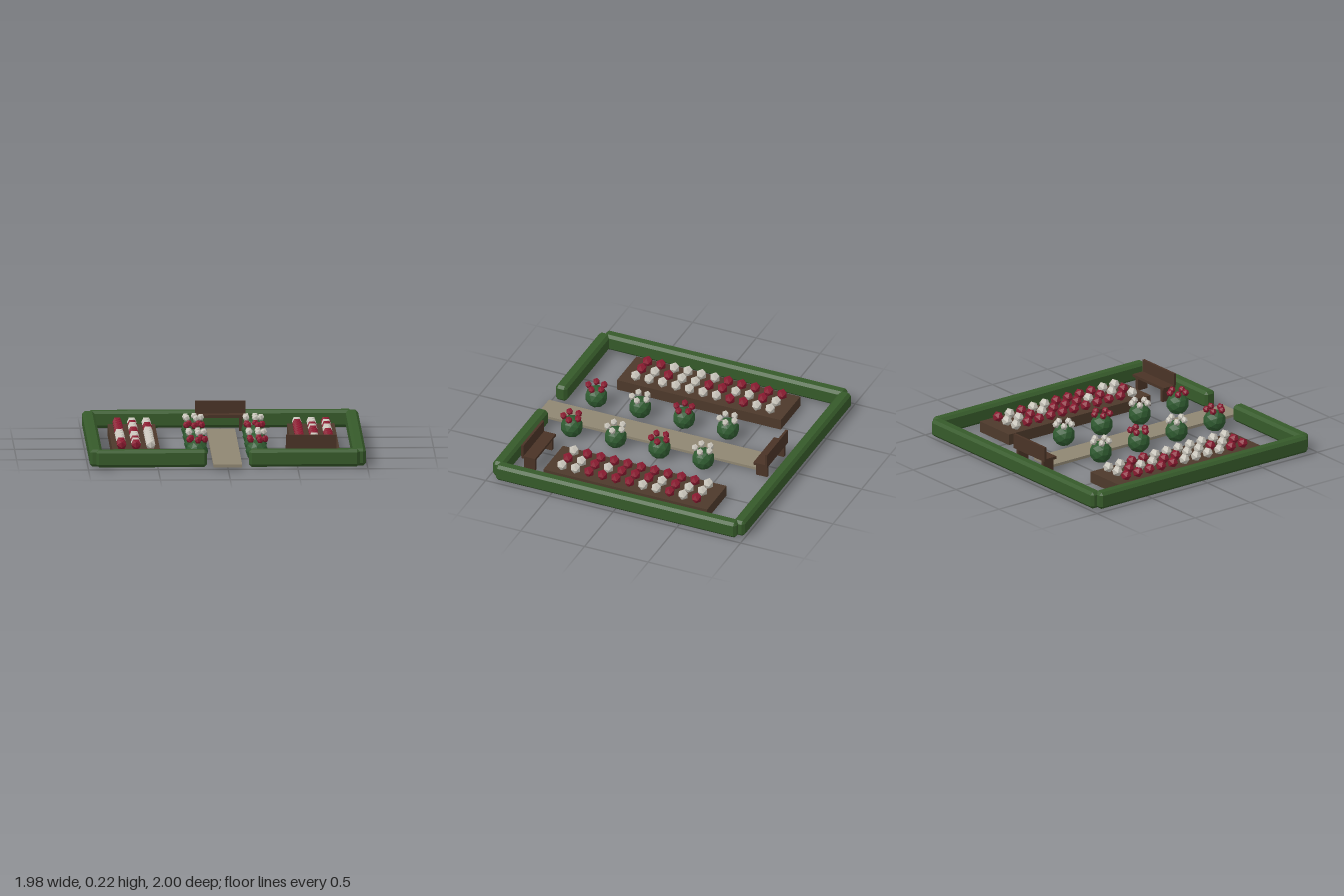
import * as THREE from 'three';
import { ConvexGeometry } from 'three/addons/geometries/ConvexGeometry.js';

const mat = (name, color) => {
  const m = new THREE.MeshStandardMaterial({ color, flatShading: true });
  m.name = name;
  return m;
};

export function createModel() {
  const hedgeGreen = mat('hedge green', 0x365a2a);
  const bushGreen = mat('bush green', 0x2f5a30);
  const soilBrown = mat('soil brown', 0x4d392b);
  const benchBrown = mat('bench brown', 0x4a3326);
  const stone = mat('path stone', 0x8f8672);
  const red = mat('rose red', 0x8a1a30);
  const white = mat('rose white', 0xc8c4ba);

  const garden = new THREE.Group();
  garden.name = 'garden';

  const add = (parent, name, geometry, material, x, y, z) => {
    const mesh = new THREE.Mesh(geometry, material);
    mesh.name = name;
    mesh.position.set(x, y, z);
    parent.add(mesh);
    return mesh;
  };
  const box = (parent, name, material, w, h, d, x, y, z) =>
    add(parent, name, new THREE.BoxGeometry(w, h, d), material, x, y, z);

  // Box with every edge chamfered
  const chamferBox = (w, h, d, c) => {
    const points = [];
    for (const sx of [-1, 1]) for (const sy of [-1, 1]) for (const sz of [-1, 1]) {
      const a = w / 2, b = h / 2, e = d / 2;
      points.push(
        new THREE.Vector3(sx * a, sy * (b - c), sz * (e - c)),
        new THREE.Vector3(sx * (a - c), sy * b, sz * (e - c)),
        new THREE.Vector3(sx * (a - c), sy * (b - c), sz * e));
    }
    return new ConvexGeometry(points);
  };

  // Hedges around the garden, with a gap at the front
  const hedge = (name, x0, x1, z0, z1) => add(garden, name,
    chamferBox(x1 - x0, 0.124, z1 - z0, 0.02), hedgeGreen,
    (x0 + x1) / 2, 0.073, (z0 + z1) / 2);
  hedge('backHedge', -0.943, 0.943, -1, -0.91);
  hedge('leftHedge', 0.898, 0.988, -0.955, 0.935);
  hedge('rightHedge', -0.988, -0.898, -0.955, 0.935);
  hedge('frontLeftHedge', 0.15, 0.943, 0.885, 0.975);
  hedge('frontRightHedge', -0.943, -0.15, 0.885, 0.975);

  // Path
  box(garden, 'path', stone, 0.205, 0.02, 1.715, -0.002, 0.025, 0.1425);

  // Flower beds: one letter per flower, rows from back to front
  const rose = new THREE.IcosahedronGeometry(0.04, 0);
  const beds = [
    ['rightBed', -0.645, 'RWW RRW RWR RWR RRW WRW WWW WWW WRW RWW RRW'],
    ['leftBed', 0.64, 'WWR RWW RRR RWW RRW RRR RRR RWR RRR RWW WRW'],
  ];
  for (const [name, x, rows] of beds) {
    const bed = new THREE.Group();
    bed.name = name;
    garden.add(bed);
    box(bed, 'soil', soilBrown, 0.34, 0.08, 1.285, x, 0.04, -0.01);
    rows.split(' ').forEach((row, i) => [...row].forEach((c, j) =>
      add(bed, 'bedFlower', rose, c === 'R' ? red : white,
        x + (j - 1) * 0.104, 0.11, -0.54 + i * 0.1055)));
  }

  // Round bushes beside the path, each with a ring of small flowers
  const ball = new THREE.IcosahedronGeometry(0.082, 1);
  const bud = new THREE.IcosahedronGeometry(0.027, 0);
  const phases = { '-1': [-0.1, 0.3, 0, 0.2], 1: [0, -0.15, 0, -0.05] };
  for (const side of [-1, 1]) {
    for (let i = 0; i < 4; i++) {
      const bush = new THREE.Group();
      bush.name = 'roseBush';
      bush.position.set(side * 0.215, 0, -0.355 + i * 0.344);
      garden.add(bush);
      add(bush, 'foliage', ball, bushGreen, 0, 0.085, 0);
      for (let k = 0; k < 5; k++) {
        const a = phases[side][i] + k * Math.PI * 0.4;
        add(bush, 'bushFlower', bud, i % 2 ? red : white,
          Math.cos(a) * 0.059, 0.172, Math.sin(a) * 0.059);
      }
    }
  }

  // Benches, facing each other along z
  const bench = (name, x, z, turn) => {
    const g = new THREE.Group();
    g.name = name;
    g.position.set(x, 0, z);
    g.rotation.y = turn;
    garden.add(g);
    box(g, 'seat', benchBrown, 0.362, 0.02, 0.108, 0, 0.12, 0);
    box(g, 'backrest', benchBrown, 0.362, 0.09, 0.018, 0, 0.174, -0.046);
    for (const s of [-1, 1])
      box(g, 'benchLeg', benchBrown, 0.025, 0.095, 0.09, s * 0.145, 0.0625, 0);
  };
  bench('backBench', -0.002, -0.785, 0);
  bench('frontBench', 0.6, 0.765, Math.PI);

  return garden;
}
